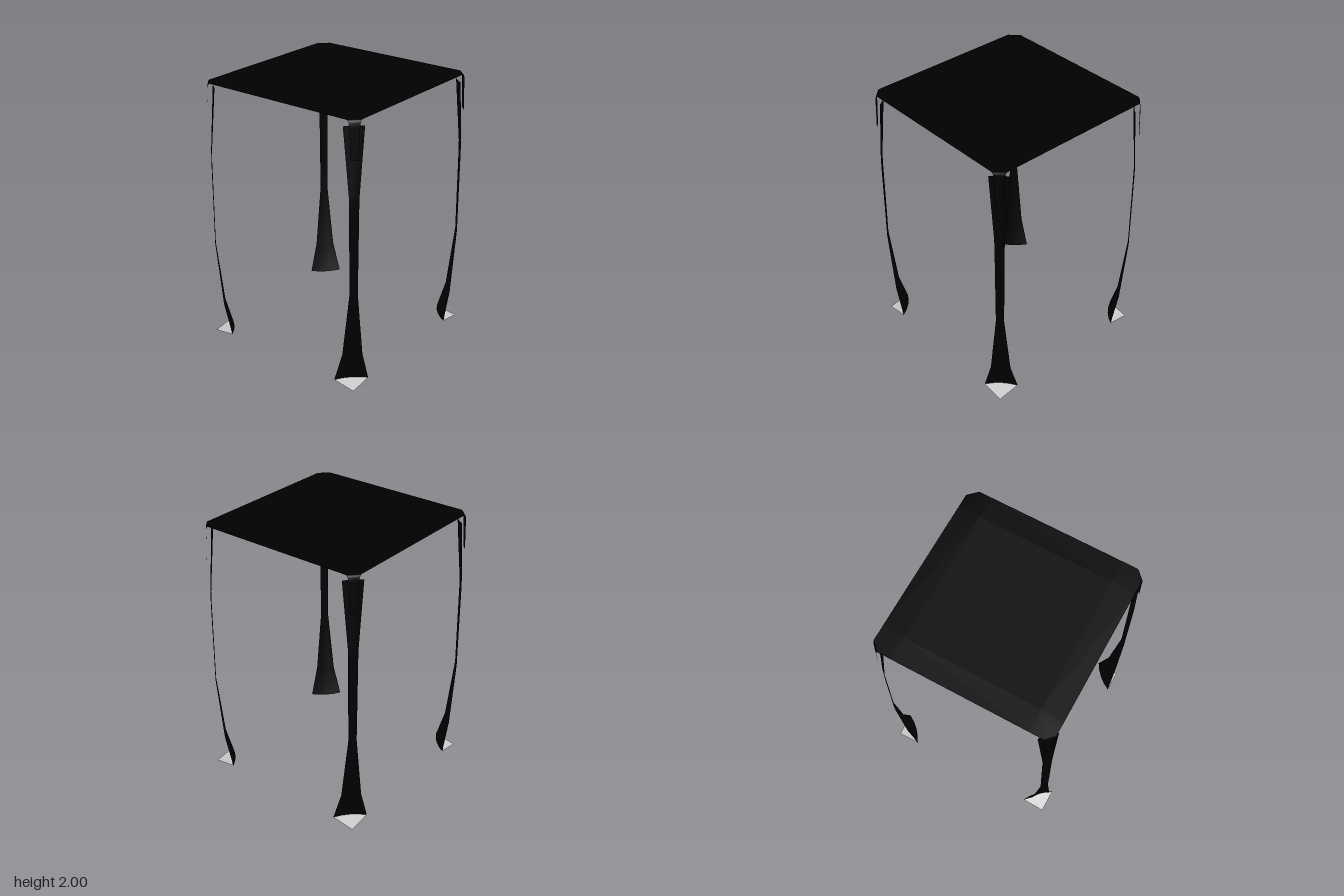
import * as THREE from 'three';

const H = 0.667; // half width of the square plan
const IN = 0.5; // where the flat roof ends and the corner patches begin
const cloth = new THREE.MeshStandardMaterial({ color: 0x000000, side: THREE.DoubleSide });
const grey = new THREE.MeshStandardMaterial({ color: 0xcccccc, side: THREE.DoubleSide });

function surface(points, index, material, name) {
  const geo = new THREE.BufferGeometry();
  geo.setAttribute('position', new THREE.Float32BufferAttribute(points.flat(), 3));
  geo.setIndex(index);
  geo.computeVertexNormals();
  const mesh = new THREE.Mesh(geo, material);
  mesh.name = name;
  return mesh;
}

// A row of points cutting off the corner at distance w, bowed inward by bow
function cornerRow(w, y, n, bow = 0) {
  return Array.from({ length: n + 1 }, (_, i) => {
    const t = i / n, b = bow * 4 * t * (1 - t);
    return [H - w * (1 - t) - b, y, H - w * t - b];
  });
}

// Triangles joining successive rows of n segments, facing outward
function stitch(rows, n, offset = 0) {
  const index = [];
  for (let r = 0; r < rows - 1; r++) {
    for (let i = 0; i < n; i++) {
      const a = offset + r * (n + 1) + i, b = a + n + 1;
      index.push(a, b, a + 1, a + 1, b, b + 1);
    }
  }
  return index;
}

// Flat cross-shaped middle of the roof
function roof() {
  const shape = new THREE.Shape([
    [-IN, -H], [IN, -H], [IN, -IN], [H, -IN], [H, IN], [IN, IN],
    [IN, H], [-IN, H], [-IN, IN], [-H, IN], [-H, -IN], [-IN, -IN],
  ].map(([x, y]) => new THREE.Vector2(x, y)));
  const mesh = new THREE.Mesh(new THREE.ShapeGeometry(shape), cloth);
  mesh.rotation.x = -Math.PI / 2;
  mesh.position.y = 2;
  mesh.name = 'roof';
  return mesh;
}

// Roof corner that rolls over into a hanging strap
function roofCorner() {
  const rows = [[0.067, 2], [0.06, 1.993], [0.053, 1.98], [0.049, 1.95], [0.036, 1.73]];
  const points = [[IN, 2, IN], [IN, 2, H], [H, 2, IN]];
  rows.forEach(([w, y]) => points.push(...cornerRow(w, y, 1)));
  // row starts at the front edge and ends at the side edge
  const index = [0, 1, 3, 0, 3, 4, 0, 4, 2, ...stitch(rows.length, 1, 3)];
  return surface(points, index, cloth, 'cornerStrap');
}

// Tapering fabric leg set across the corner
function leg() {
  const n = 4;
  const rows = [[0.1, 1.95], [0.05, 1.48], [0.047, 1.4], [0.043, 1], [0.04, 0.76], [0.1, 0.26], [0.172, 0.025]];
  const points = rows.flatMap(([w, y]) => cornerRow(w, y, n, w * 0.08));
  return surface(points, stitch(rows.length, n), cloth, 'leg');
}

// Tilted foot plate reaching out to the corner
function foot() {
  const n = 4;
  const points = [[H, 0, H], ...cornerRow(0.172, 0.025, n, 0.014)];
  const index = [];
  for (let i = 1; i <= n; i++) index.push(0, i + 1, i);
  return surface(points, index, grey, 'footPlate');
}

export function createModel() {
  const model = new THREE.Group();
  model.name = 'canopy';
  model.add(roof());
  for (let i = 0; i < 4; i++) {
    const corner = new THREE.Group();
    corner.name = 'corner';
    corner.add(roofCorner(), leg(), foot());
    corner.rotation.y = (i * Math.PI) / 2;
    model.add(corner);
  }
  return model;
}
